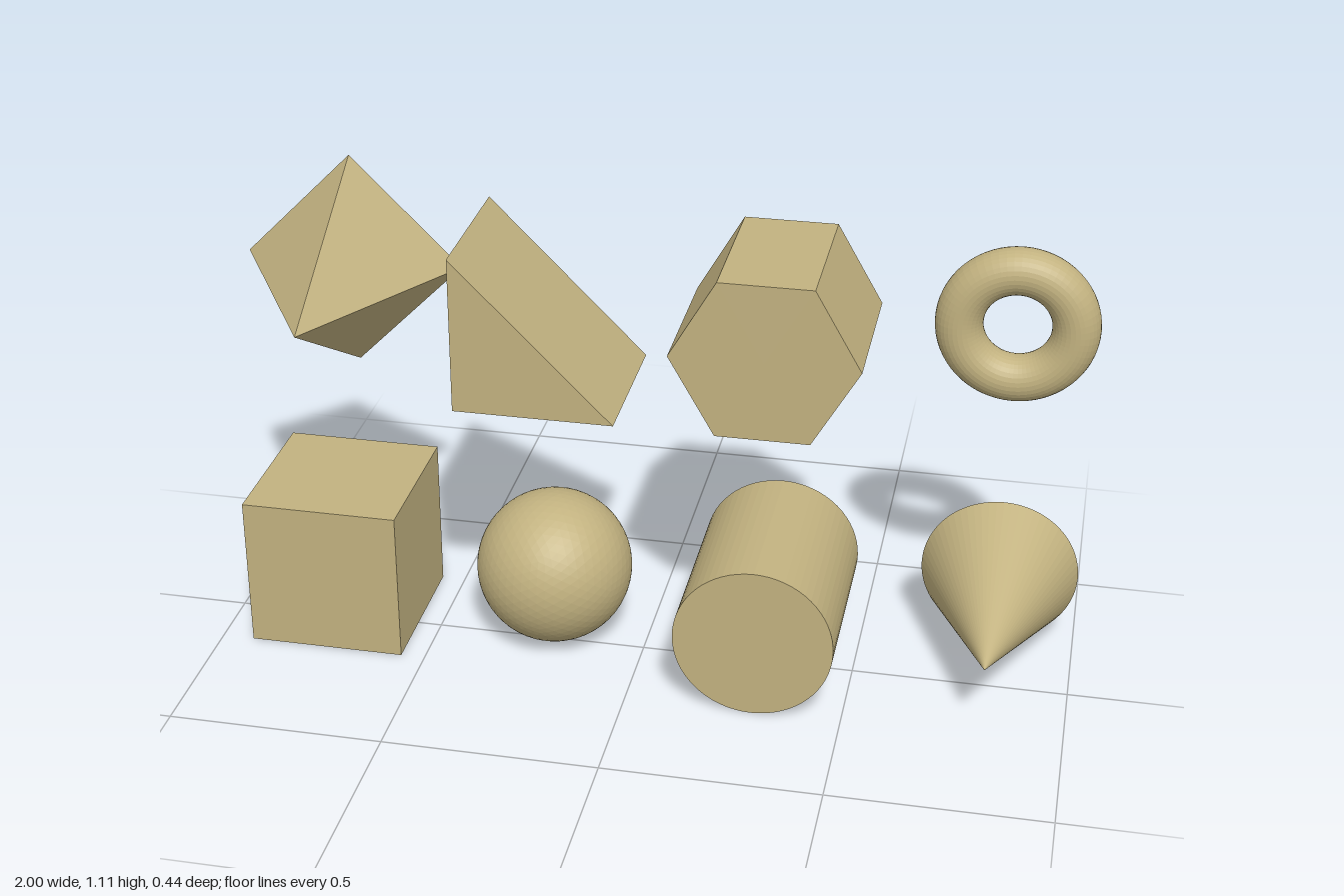
import * as THREE from 'three';

const R = 0.184;            // common half-size of the solids
const BACK = -0.22;         // shared back plane
const LOW = 0.185, HIGH = 0.852; // heights of the two rows

export function createModel() {
  const group = new THREE.Group();
  group.name = 'geometricSolids';
  const material = new THREE.MeshStandardMaterial({ color: 0xc2b280, flatShading: true });

  // Places a solid centred on x, y with its back on the shared plane
  const add = (name, geometry, x, y) => {
    geometry.computeBoundingBox();
    const mesh = new THREE.Mesh(geometry, material);
    mesh.name = name;
    mesh.position.set(x, y, BACK - geometry.boundingBox.min.z);
    group.add(mesh);
  };

  // Prism, cone or cylinder lying along z, narrow end to the front
  const along = (front, back, depth, sides, start = 0) =>
    new THREE.CylinderGeometry(front, back, depth, sides, 1, false, start).rotateX(Math.PI / 2);

  // Lower row
  add('cube', new THREE.BoxGeometry(2 * R, 2 * R, 2 * R), -0.741, LOW);
  const ball = new THREE.IcosahedronGeometry(R, 9);
  add('sphere', ball, -0.223, LOW);
  add('cylinder', along(R, R, 0.44, 64), 0.294, LOW);
  add('cone', along(0, R, 0.44, 64), 0.815, LOW);

  // Upper row
  add('squarePyramid', along(0, 0.26, 0.44, 4), -0.739, HIGH);
  const triangle = new THREE.Shape([
    new THREE.Vector2(-R, -R), new THREE.Vector2(R, -R), new THREE.Vector2(-R, R),
  ]);
  add('wedge', new THREE.ExtrudeGeometry(triangle, { depth: 2 * R, bevelEnabled: false }), -0.223, HIGH);
  add('hexagonalPrism', along(0.2125, 0.2125, 2 * R, 6, Math.PI / 2), 0.294, HIGH);
  add('ring', new THREE.TorusGeometry(0.13, 0.054, 32, 64), 0.815, HIGH);

  return group;
}
